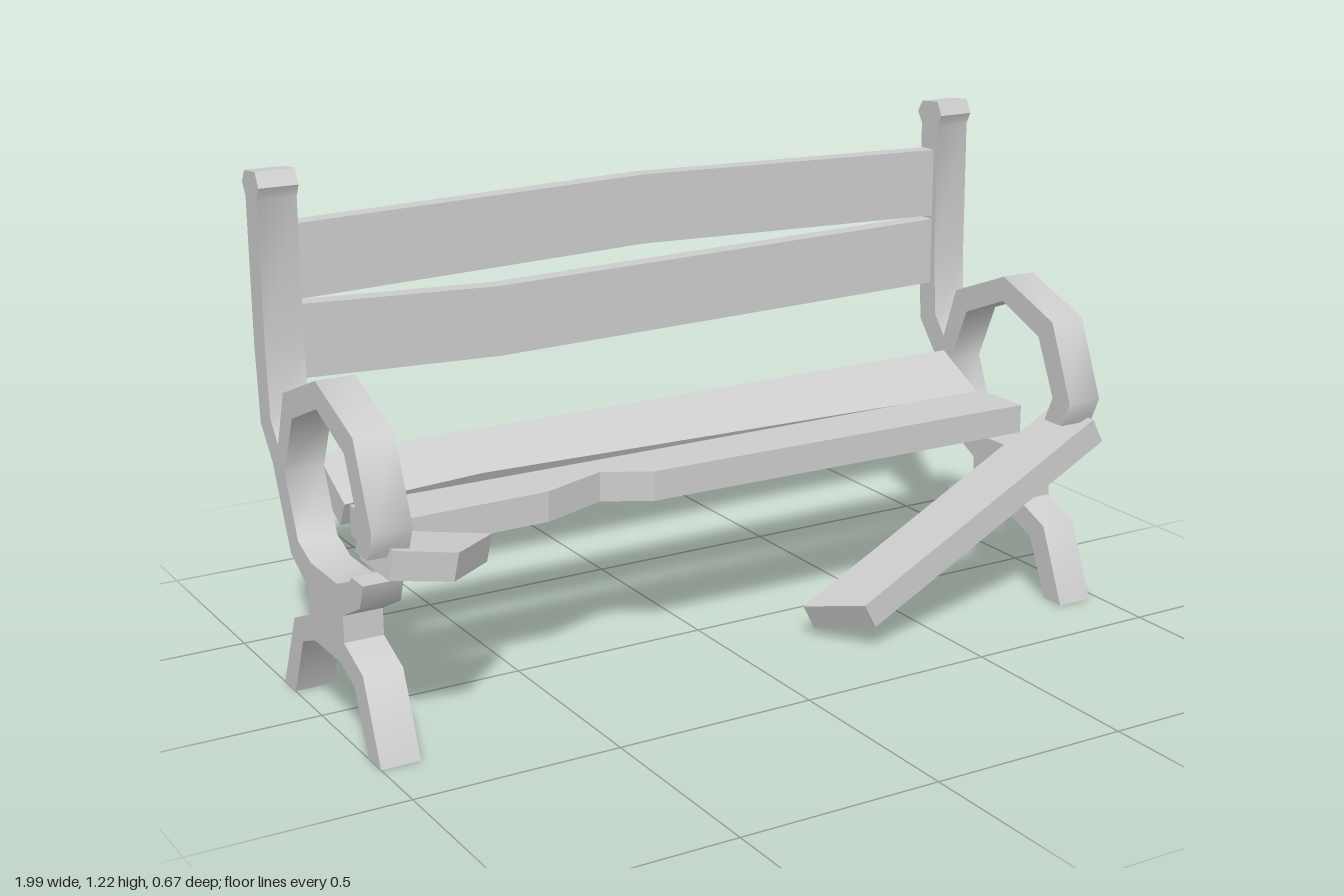
import * as THREE from 'three';
import { toCreasedNormals } from 'three/addons/utils/BufferGeometryUtils.js';

const material = new THREE.MeshStandardMaterial({ color: 0xcccccc });
const X0 = -0.905, X1 = 0.88; // inner faces of the two end frames

function extrude(points, depth) {
  const shape = new THREE.Shape(points.map(([x, y]) => new THREE.Vector2(x, y)));
  return new THREE.ExtrudeGeometry(shape, { depth, bevelEnabled: false });
}

// Outline given in x/y, thickness runs towards +z
function uprightPlank(name, points, z, depth) {
  const mesh = new THREE.Mesh(extrude(points, depth), material);
  mesh.name = name;
  mesh.position.z = z;
  return mesh;
}

// Outline given in x/z on the top face, thickness runs downwards
function flatPlank(name, points, thickness, position, rotation = [0, 0, 0]) {
  const geometry = extrude(points.map(([x, z]) => [x, -z]), thickness);
  geometry.rotateX(-Math.PI / 2).translate(0, -thickness, 0);
  const mesh = new THREE.Mesh(geometry, material);
  mesh.name = name;
  mesh.position.set(...position);
  mesh.rotation.set(...rotation);
  return mesh;
}

// End frame outline in z/y: legs, back post, armrest loop open at the front
const frameOutline = [
  // feet and lower arch
  [0.335, 0], [0.268, 0], [0.203, 0.148], [0.127, 0.177], [-0.02, 0.177],
  [-0.095, 0.148], [-0.16, 0], [-0.226, 0], [-0.143, 0.19], [-0.043, 0.232],
  // back post and its cap
  [-0.043, 0.296], [-0.143, 0.347], [-0.232, 0.543], [-0.296, 0.62], [-0.311, 0.807],
  [-0.314, 1.15], [-0.332, 1.18], [-0.314, 1.209], [-0.248, 1.215], [-0.23, 1.18],
  [-0.245, 1.151], [-0.242, 0.807], [-0.232, 0.646], [-0.191, 0.595],
  // armrest, outside then inside
  [-0.143, 0.73], [0.055, 0.807], [0.255, 0.73], [0.335, 0.537], [0.307, 0.473],
  [0.24, 0.473], [0.268, 0.537], [0.203, 0.682], [0.055, 0.743], [-0.095, 0.682],
  [-0.157, 0.537], [-0.095, 0.392], [-0.02, 0.363], [0.13, 0.363],
  // front stub and front of the waist
  [0.203, 0.392], [0.213, 0.405], [0.277, 0.405], [0.255, 0.347], [0.155, 0.296],
  [0.155, 0.232], [0.255, 0.19],
];

export function createModel() {
  const bench = new THREE.Group();
  bench.name = 'brokenBench';

  // End frames
  const frameGeometry = toCreasedNormals(extrude(frameOutline, 0.095).rotateY(-Math.PI / 2), 0.9);
  for (const [name, x] of [['rightFrame', X0], ['leftFrame', X1 + 0.095]]) {
    const frame = new THREE.Mesh(frameGeometry, material);
    frame.name = name;
    frame.position.x = x;
    bench.add(frame);
  }

  // Warped backrest planks
  bench.add(uprightPlank('upperBackPlank', [
    [X0, 0.91], [0, 0.935], [X1, 0.91], [X1, 1.086], [0, 1.108], [X0, 1.086],
  ], -0.307, 0.048));
  bench.add(uprightPlank('lowerBackPlank', [
    [X0, 0.722], [-0.4, 0.704], [X1, 0.727], [X1, 0.9], [-0.4, 0.877], [X0, 0.898],
  ], -0.307, 0.048));

  // Rear seat plank, tilted up towards the back
  bench.add(flatPlank('rearSeatPlank', [
    [X0, -0.17], [X1, -0.17], [X1, 0], [-0.55, -0.026], [X0, -0.005],
  ], 0.067, [0, 0.476, -0.038], [0.485, 0, 0]));

  // Middle seat plank with a chipped front edge
  bench.add(flatPlank('middleSeatPlank', [
    [X0, -0.012], [X1, -0.018], [X1, 0.145], [-0.2, 0.132], [-0.31, 0.07], [-0.48, 0.135], [X0, 0.143],
  ], 0.073, [0, 0.487, 0]));

  // Snapped front seat plank: a short stub and a fallen piece
  bench.add(flatPlank('snappedPlankStub', [
    [0, 0.177], [0.312, 0.177], [0.155, 0.333], [0, 0.333],
  ], 0.066, [-0.95, 0.494, 0], [0, 0, -0.21]));
  bench.add(flatPlank('fallenPlankPiece', [
    [0, 0.177], [0.864, 0.177], [0.864, 0.333], [0.085, 0.333],
  ], 0.07, [0.196, 0.083, 0], [0, 0, 0.483]));

  return bench;
}
